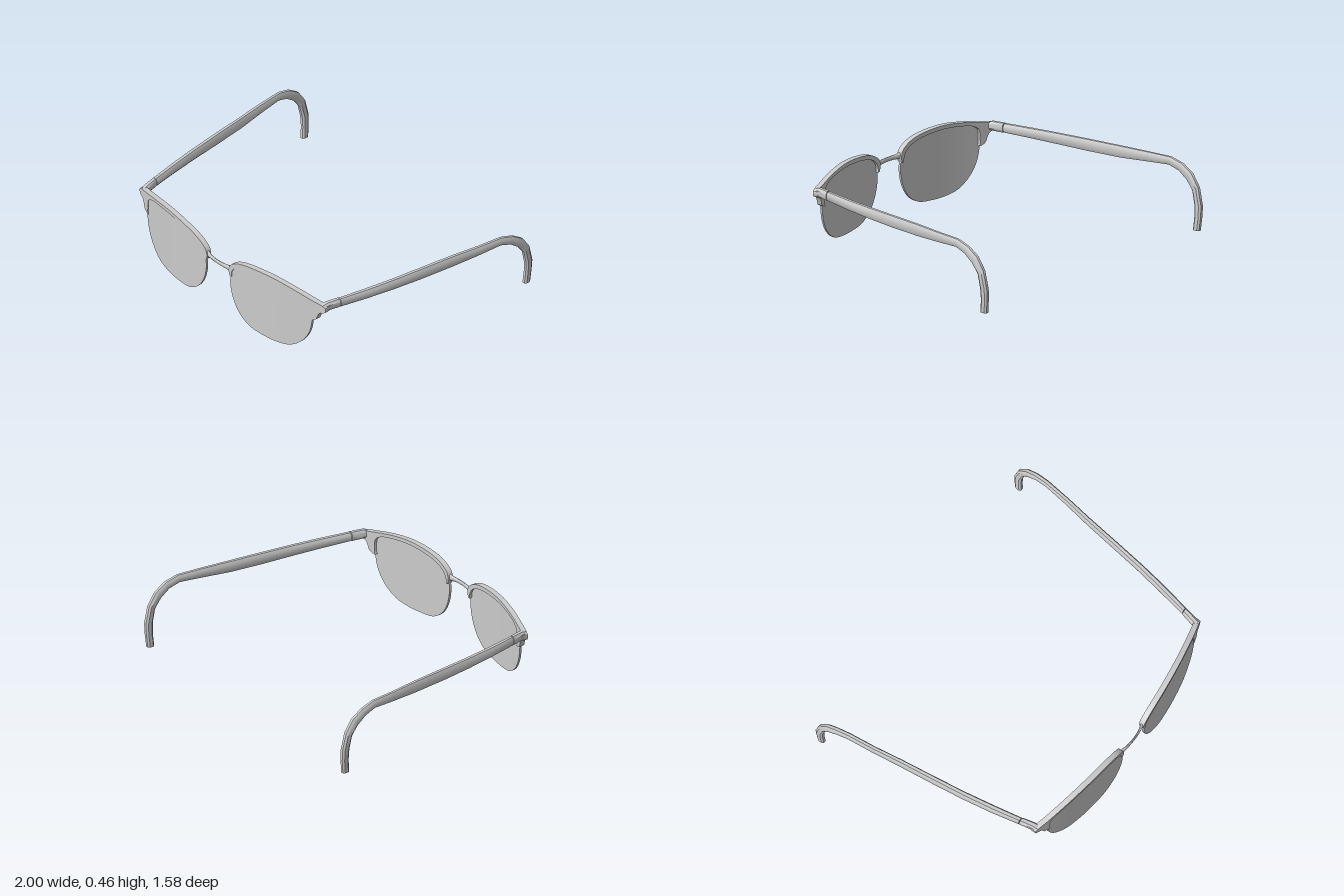
import * as THREE from 'three';
import { toCreasedNormals } from 'three/addons/utils/BufferGeometryUtils.js';

const material = new THREE.MeshStandardMaterial({ color: 0xcccccc });

// Front surface of the eyewear, wrapping back towards the temples
const wrap = (x) => 0.787 - 0.2 * Math.max(0, Math.abs(x) - 0.05) ** 2;

// Skin a row of equal-sized rings into a closed solid, facing outwards
function loft(name, rings, crease = 0.6) {
  const n = rings[0].length;
  const pts = rings.flat();
  const index = [];
  for (let i = 0; i < rings.length - 1; i++) {
    for (let j = 0; j < n; j++) {
      const a = i * n + j, b = i * n + (j + 1) % n;
      index.push(a, b, b + n, a, b + n, a + n);
    }
  }
  const last = (rings.length - 1) * n;
  for (let j = 1; j < n - 1; j++) {
    index.push(0, j + 1, j, last, last + j, last + j + 1);
  }
  let volume = 0;
  for (let i = 0; i < index.length; i += 3) {
    const [a, b, c] = [0, 1, 2].map((k) => pts[index[i + k]]);
    volume += a.dot(b.clone().cross(c));
  }
  if (volume < 0) index.reverse();
  const geo = new THREE.BufferGeometry().setFromPoints(pts);
  geo.setIndex(index);
  const mesh = new THREE.Mesh(toCreasedNormals(geo, crease), material);
  mesh.name = name;
  return mesh;
}

const V = (x, y, z) => new THREE.Vector3(x, y, z);
const curve2 = (pts, closed = false) =>
  new THREE.CatmullRomCurve3(pts.map(([x, y]) => V(x, y, 0)), closed, 'centripetal');

// Lens: concentric rings across the front, round the rim and across the back
function lens(side) {
  const outline = curve2([
    [0.11, 0.32], [0.106, 0.25], [0.13, 0.16], [0.18, 0.085], [0.26, 0.033],
    [0.36, 0.018], [0.47, 0.018], [0.57, 0.04], [0.65, 0.1], [0.7, 0.18],
    [0.72, 0.27], [0.72, 0.37], [0.69, 0.408], [0.6, 0.432], [0.45, 0.445],
    [0.3, 0.438], [0.2, 0.415], [0.14, 0.38],
  ], true).getPoints(72).slice(0, -1);
  const ring = (scale, depth) => outline.map((p) => {
    const x = 0.41 + (p.x - 0.41) * scale, y = 0.24 + (p.y - 0.24) * scale;
    return V(side * x, y, wrap(x) - depth);
  });
  const scales = [0.01, 0.25, 0.5, 0.75, 1];
  return loft('lens', [
    ...scales.map((s) => ring(s, 0.004)),
    ...scales.reverse().map((s) => ring(s, 0.018)),
  ]);
}

// Brow: a band between an outer and an inner edge, dropping at both ends
function brow(side) {
  const outer = curve2([
    [0.105, 0.315], [0.095, 0.345], [0.105, 0.385], [0.14, 0.415], [0.2, 0.44],
    [0.3, 0.457], [0.45, 0.463], [0.6, 0.446], [0.72, 0.422], [0.812, 0.397],
    [0.808, 0.365], [0.775, 0.35], [0.76, 0.325], [0.748, 0.295], [0.715, 0.278],
  ]);
  const inner = curve2([
    [0.118, 0.312], [0.12, 0.345], [0.137, 0.375], [0.165, 0.398], [0.22, 0.418],
    [0.3, 0.432], [0.45, 0.439], [0.58, 0.427], [0.66, 0.41], [0.7, 0.385],
    [0.708, 0.365], [0.71, 0.345], [0.71, 0.32], [0.71, 0.295], [0.704, 0.28],
  ]);
  const rings = [];
  for (let i = 0; i <= 56; i++) {
    const o = outer.getPoint(i / 56), p = inner.getPoint(i / 56);
    rings.push([[o, 0], [p, 0], [p, 0.034], [o, 0.034]].map(
      ([q, d]) => V(side * q.x, q.y, wrap(q.x) - d)));
  }
  return loft('brow', rings);
}

// Ring with clipped corners between a top and a bottom point [z, y]
function armRing(side, x, width, top, bottom) {
  const corners = [[-1, 0.25], [-0.5, 0], [0.5, 0], [1, 0.25],
    [1, 0.75], [0.5, 1], [-0.5, 1], [-1, 0.75]];
  return corners.map(([u, v]) => V(
    side * (x + u * width / 2),
    THREE.MathUtils.lerp(top[1], bottom[1], v),
    THREE.MathUtils.lerp(top[0], bottom[0], v)));
}

// Temple: straight arm, then the hook behind the ear; [x, width, top, bottom]
function temple(side) {
  const stations = [
    [0.808, 0.036, [0.558, 0.416], [0.558, 0.362]],
    [0.843, 0.040, [0.38, 0.415], [0.38, 0.356]],
    [0.873, 0.038, [0.2, 0.415], [0.2, 0.35]],
    [0.9, 0.036, [0, 0.415], [0, 0.345]],
    [0.928, 0.034, [-0.22, 0.414], [-0.22, 0.345]],
    [0.955, 0.032, [-0.4, 0.411], [-0.4, 0.353]],
    [0.973, 0.032, [-0.56, 0.409], [-0.55, 0.361]],
    [0.98, 0.034, [-0.645, 0.383], [-0.62, 0.338]],
    [0.982, 0.036, [-0.715, 0.336], [-0.68, 0.292]],
    [0.982, 0.036, [-0.765, 0.26], [-0.722, 0.235]],
    [0.98, 0.036, [-0.79, 0.15], [-0.74, 0.15]],
    [0.976, 0.034, [-0.788, 0.08], [-0.742, 0.08]],
    [0.972, 0.034, [-0.78, 0], [-0.735, 0]],
  ];
  return loft('temple', stations.map((s) => armRing(side, ...s)));
}

// Hinge block joining the brow to the temple
function hinge(side) {
  return loft('hinge', [
    armRing(side, 0.785, 0.044, [0.668, 0.41], [0.668, 0.362]),
    armRing(side, 0.789, 0.042, [0.64, 0.418], [0.64, 0.364]),
    armRing(side, 0.806, 0.038, [0.562, 0.418], [0.562, 0.361]),
  ]);
}

// Bridge: slim bar bowed forward, flaring into the brows
function bridge() {
  const rings = [];
  for (let i = 0; i <= 16; i++) {
    const x = -0.115 + 0.23 * i / 16, t = (x / 0.115) ** 2;
    const y = 0.355, h = 0.014 + 0.012 * t ** 2;
    const z = 0.784 - 0.017 * t, d = 0.006 + 0.006 * t;
    rings.push(Array.from({ length: 10 }, (_, k) => {
      const a = k / 10 * Math.PI * 2;
      return V(x, y + h * Math.sin(a), z + d * Math.cos(a));
    }));
  }
  return loft('bridge', rings, 1);
}

export function createModel() {
  const model = new THREE.Group();
  model.name = 'glasses';
  model.add(bridge());
  for (const side of [1, -1]) {
    const half = new THREE.Group();
    half.name = side > 0 ? 'leftHalf' : 'rightHalf';
    half.add(lens(side), brow(side), hinge(side), temple(side));
    model.add(half);
  }
  return model;
}
